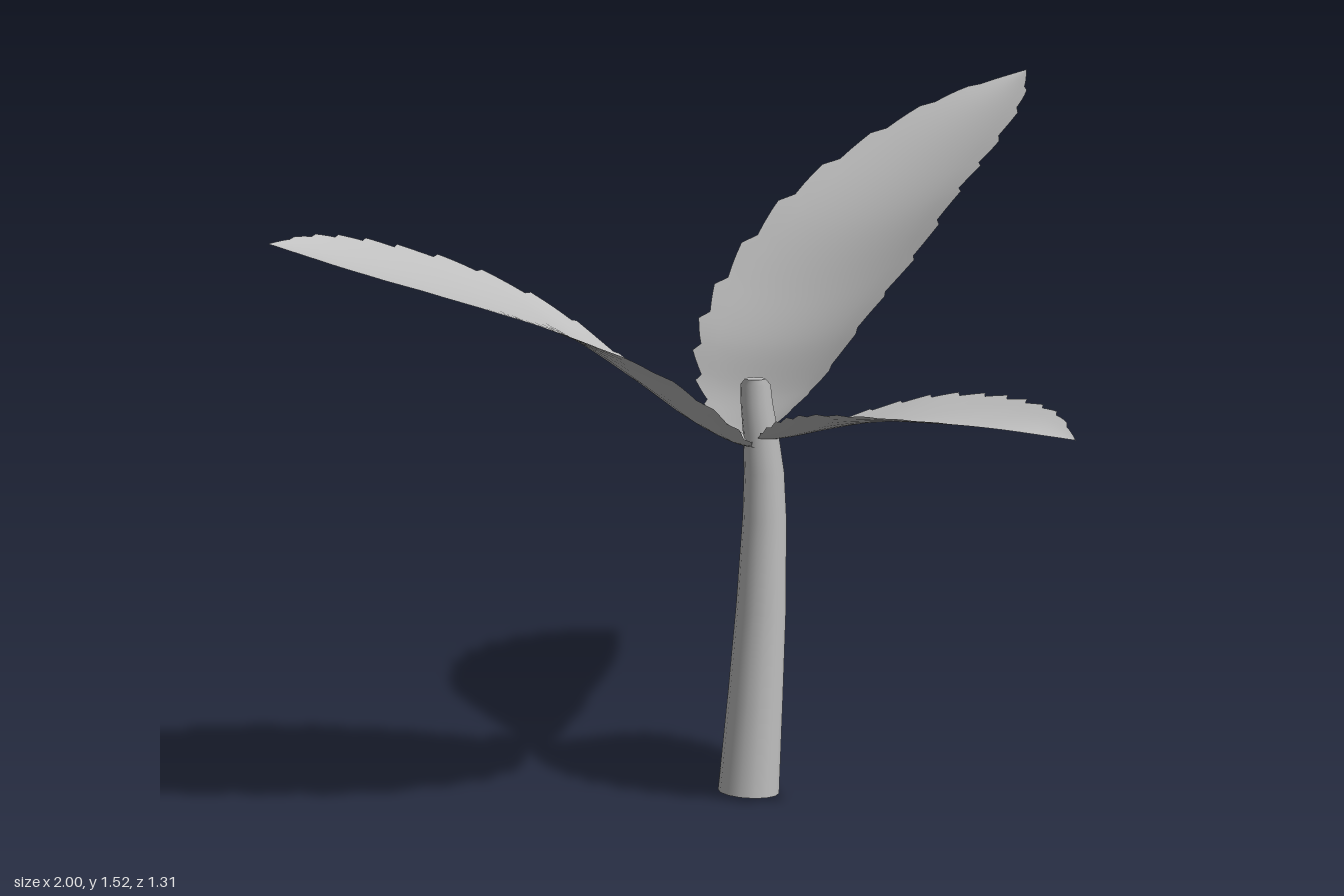
import * as THREE from 'three';

const plantGrey = new THREE.MeshStandardMaterial({ color: 0xc0c0c0, side: THREE.DoubleSide });
plantGrey.name = 'plantGrey';

const curve = (points) => new THREE.CatmullRomCurve3(points.map((p) => new THREE.Vector3(...p)));

// Cupped leaf lofted between two serrated edges and a midrib, all running base to tip
function makeLeaf(name, edgeA, midrib, edgeB) {
  const rows = 56, cols = 10, toothRows = 4;
  const [a, m, b] = [edgeA, midrib, edgeB].map(curve);
  const positions = [], index = [];
  for (let i = 0; i <= rows; i++) {
    const t = i / rows;
    const pa = a.getPoint(t), pm = m.getPoint(t), pb = b.getPoint(t);
    const half = pb.clone().sub(pa).multiplyScalar(0.5);
    const cup = pa.clone().add(pb).multiplyScalar(0.5).sub(pm);
    const tooth = 0.94 + 0.08 * ((i % toothRows) / (toothRows - 1));
    for (let j = 0; j <= cols; j++) {
      let u = (j / cols) * 2 - 1;
      if (j === 0 || j === cols) u *= tooth;
      else u *= 0.97;
      const p = pm.clone().addScaledVector(half, u).addScaledVector(cup, u * u);
      positions.push(p.x, p.y, p.z);
      if (i < rows && j < cols) {
        const k = i * (cols + 1) + j, n = k + cols + 1;
        index.push(k, k + 1, n, k + 1, n + 1, n);
      }
    }
  }
  const geometry = new THREE.BufferGeometry();
  geometry.setAttribute('position', new THREE.Float32BufferAttribute(positions, 3));
  geometry.setIndex(index);
  geometry.computeVertexNormals();
  const mesh = new THREE.Mesh(geometry, plantGrey);
  mesh.name = name;
  return mesh;
}

// Slightly bent, tapering stem: each ring is [centre x, y, radius]
function makeStem() {
  const rings = [
    [0.013, 0.005, 0.066], [0.03, 0.2, 0.06], [0.046, 0.4, 0.054], [0.056, 0.6, 0.047],
    [0.055, 0.7, 0.043], [0.047, 0.78, 0.038], [0.036, 0.85, 0.034], [0.033, 0.89, 0.032], [0.032, 0.902, 0.022],
  ];
  const last = rings.length - 1;
  const geometry = new THREE.CylinderGeometry(1, 1, 1, 14, last);
  const pos = geometry.attributes.position;
  for (let i = 0; i < pos.count; i++) {
    const [x, y, r] = rings[Math.round((pos.getY(i) + 0.5) * last)];
    const tilt = y < 0.1 ? -0.005 * pos.getX(i) : 0;
    pos.setXYZ(i, x + r * pos.getX(i), y + tilt, -0.128 + r * pos.getZ(i));
  }
  const mesh = new THREE.Mesh(geometry, plantGrey);
  mesh.name = 'stem';
  return mesh;
}

export function createModel() {
  const group = new THREE.Group();
  group.name = 'seedling';
  group.add(makeStem());

  // Tall leaf rising to the left and back
  group.add(makeLeaf('leftLeaf',
    [[0.04, 0.77, -0.15], [0.06, 0.785, -0.3], [0.11, 0.84, -0.45], [0.18, 0.94, -0.56], [0.3, 1.06, -0.63],
      [0.48, 1.22, -0.65], [0.68, 1.355, -0.605], [0.86, 1.46, -0.51], [1, 1.52, -0.385]],
    [[0.04, 0.77, -0.14], [0.08, 0.8, -0.18], [0.14, 0.85, -0.22], [0.22, 0.95, -0.26], [0.34, 1.06, -0.3],
      [0.49, 1.2, -0.33], [0.66, 1.325, -0.35], [0.84, 1.44, -0.37], [1, 1.52, -0.385]],
    [[0.04, 0.77, -0.13], [0.09, 0.83, -0.085], [0.15, 0.9, -0.05], [0.25, 1.03, -0.02], [0.37, 1.16, 0],
      [0.5, 1.28, -0.025], [0.64, 1.365, -0.08], [0.83, 1.46, -0.2], [1, 1.52, -0.385]]));

  // Wide leaf arching to the right
  group.add(makeLeaf('rightLeaf',
    [[0.02, 0.77, -0.12], [-0.04, 0.775, -0.04], [-0.11, 0.8, 0.06], [-0.23, 0.87, 0.14], [-0.42, 0.985, 0.18],
      [-0.6, 1.07, 0.115], [-0.77, 1.135, 0.01], [-0.9, 1.185, -0.14], [-1, 1.232, -0.31]],
    [[0.02, 0.77, -0.13], [-0.05, 0.79, -0.135], [-0.13, 0.83, -0.14], [-0.26, 0.92, -0.14], [-0.44, 1.035, -0.145],
      [-0.62, 1.115, -0.17], [-0.78, 1.17, -0.21], [-0.9, 1.205, -0.26], [-1, 1.232, -0.31]],
    [[0.02, 0.78, -0.14], [-0.06, 0.85, -0.245], [-0.15, 0.93, -0.33], [-0.29, 1.05, -0.4], [-0.47, 1.145, -0.44],
      [-0.65, 1.2, -0.425], [-0.79, 1.23, -0.39], [-0.9, 1.24, -0.35], [-1, 1.232, -0.31]]));

  // Small leaf reaching forward, nearly level
  group.add(makeLeaf('frontLeaf',
    [[0.03, 0.77, -0.12], [0.16, 0.79, -0.09], [0.28, 0.83, -0.03], [0.355, 0.865, 0.08], [0.385, 0.88, 0.22],
      [0.365, 0.885, 0.37], [0.32, 0.88, 0.51], [0.24, 0.853, 0.65]],
    [[0.03, 0.77, -0.12], [0.07, 0.78, -0.07], [0.11, 0.8, 0], [0.15, 0.825, 0.1], [0.18, 0.845, 0.22],
      [0.2, 0.857, 0.36], [0.22, 0.862, 0.5], [0.24, 0.853, 0.65]],
    [[0.03, 0.77, -0.12], [0, 0.8, -0.06], [-0.015, 0.835, 0.02], [-0.025, 0.86, 0.12], [-0.02, 0.875, 0.25],
      [0.03, 0.88, 0.4], [0.11, 0.875, 0.53], [0.24, 0.853, 0.65]]));

  return group;
}
